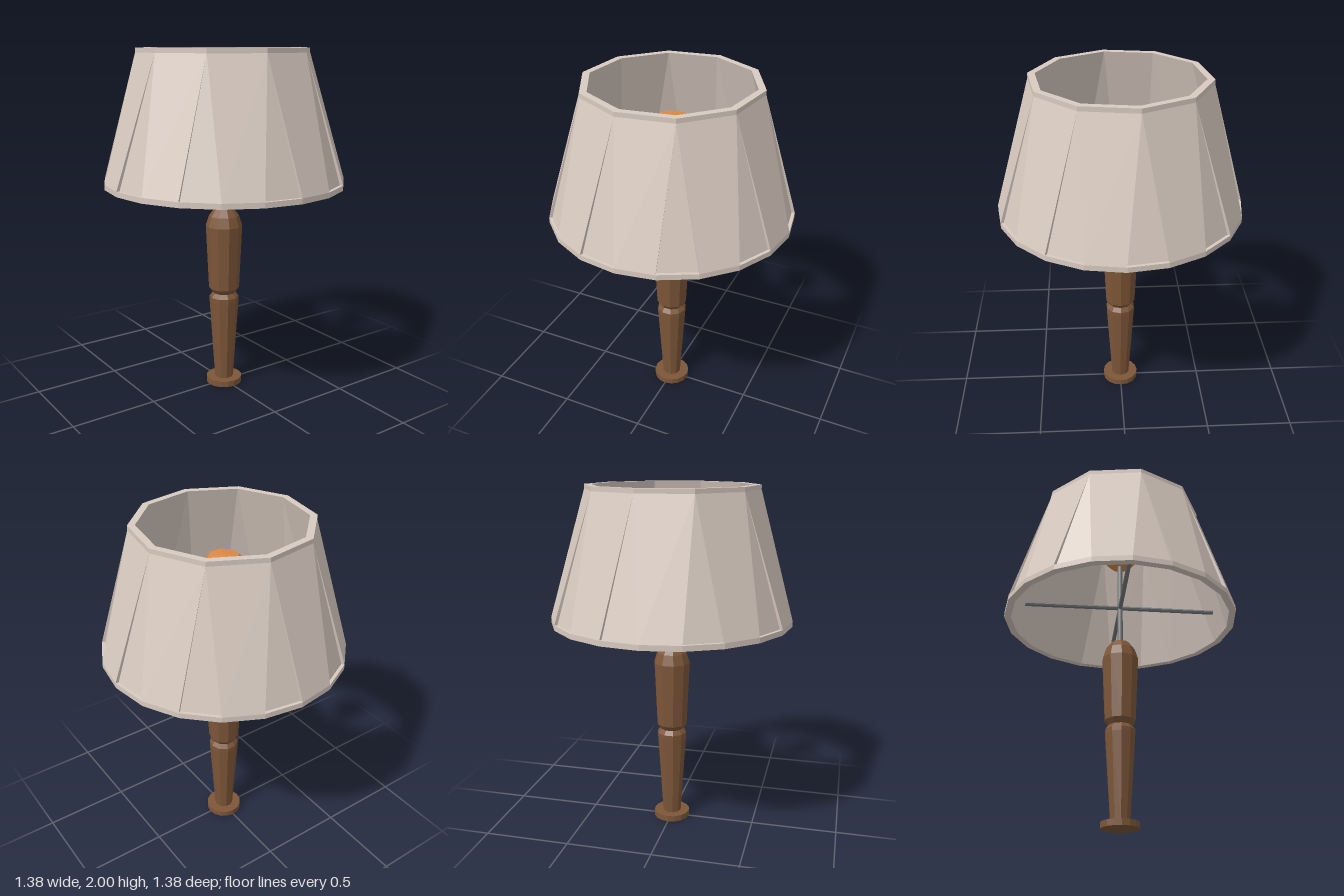
import * as THREE from 'three';

const mat = (name, color) =>
  new THREE.MeshStandardMaterial({ name, color, flatShading: true });

// Point on a circle: radius, angle in degrees, height
const P = (r, deg, y) => {
  const a = THREE.MathUtils.degToRad(deg);
  return [r * Math.cos(a), y, r * Math.sin(a)];
};

// Faceted shade: ten wide panels alternating with ten recessed gussets
function shadeGeometry() {
  const pos = [];
  const tri = (a, b, c) => pos.push(...a, ...b, ...c);
  const quad = (a, b, c, d) => { tri(a, b, c); tri(a, c, d); };
  const bottom = 1.235, shelf = 1.265, neck = 1.975, top = 2;
  const rBottom = 0.69, rRecess = 0.672, rTop = 0.49, rInBottom = 0.65, rInTop = 0.45;

  for (let k = 0; k < 10; k++) {
    const t = 9 + 36 * k, next = t + 36;
    const a = t - 9, b = t + 9, c = t + 27;
    const apex = P(rTop, t, neck);
    const A = P(rBottom, a, shelf), B = P(rBottom, b, shelf);
    const Ar = P(rRecess, a, shelf), Br = P(rRecess, b, shelf);

    // wide panel
    quad(P(rBottom, c, shelf), B, apex, P(rTop, next, neck));
    // recessed gusset, its two side steps and the shelf below it
    tri(Br, Ar, apex);
    tri(Ar, A, apex);
    tri(B, Br, apex);
    quad(A, Ar, Br, B);
    // lower hoop, outside and underside
    for (const [u, v] of [[a, b], [b, c]]) {
      quad(P(rBottom, v, bottom), P(rBottom, u, bottom), P(rBottom, u, shelf), P(rBottom, v, shelf));
      quad(P(rBottom, u, bottom), P(rBottom, v, bottom), P(rInBottom, v, bottom), P(rInBottom, u, bottom));
    }
    // upper rim, outside and top
    quad(P(rTop, next, neck), apex, P(rTop, t, top), P(rTop, next, top));
    quad(P(rTop, next, top), P(rTop, t, top), P(rInTop, t, top), P(rInTop, next, top));
    // inside wall
    quad(P(rInBottom, b, bottom), P(rInBottom, c, bottom), P(rInTop, next, top), P(rInTop, t, top));
    tri(P(rInBottom, a, bottom), P(rInBottom, b, bottom), P(rInTop, t, top));
  }
  const g = new THREE.BufferGeometry();
  g.setAttribute('position', new THREE.Float32BufferAttribute(pos, 3));
  g.computeVertexNormals();
  return g;
}

const lathe = (points, sides) =>
  new THREE.LatheGeometry(points.map(([r, y]) => new THREE.Vector2(r, y)), sides);

export function createModel() {
  const model = new THREE.Group();
  model.name = 'tableLamp';

  const fabric = mat('fabric', 0xd8cac0);
  fabric.side = THREE.DoubleSide;
  const wood = mat('wood', 0x7d5638);
  const metal = mat('metal', 0x75787b);
  const amber = mat('amber', 0xdc8a48);

  const add = (name, geometry, material, y = 0) => {
    const mesh = new THREE.Mesh(geometry, material);
    mesh.name = name;
    mesh.position.y = y;
    model.add(mesh);
    return mesh;
  };

  // Turned wooden stand
  add('foot', new THREE.CylinderGeometry(0.107, 0.107, 0.035, 16), wood, 0.0175);
  add('lowerStem', lathe([[0.055, 0.03], [0.087, 0.525], [0.087, 0.55], [0.068, 0.575], [0, 0.58]], 10), wood);
  add('upperStem', lathe([[0, 0.57], [0.068, 0.575], [0.09, 0.605], [0.107, 0.985],
    [0.088, 1.045], [0.055, 1.09], [0, 1.09]], 10), wood);

  // Metal pole and the cross that carries the shade
  add('pole', new THREE.CylinderGeometry(0.016, 0.016, 0.6, 8), metal, 1.37);
  for (const [name, axis] of [['crossBarX', 'z'], ['crossBarZ', 'x']]) {
    const bar = add(name, new THREE.CylinderGeometry(0.013, 0.013, 1.14, 8), metal, 1.33);
    bar.rotation[axis] = Math.PI / 2;
  }

  // Faceted bulb on the pole
  const bulb = add('bulb', lathe([[0, 1.62], [0.07, 1.63], [0.112, 1.68], [0.112, 1.76],
    [0.085, 1.805], [0, 1.815]], 8), amber);
  bulb.rotation.y = Math.PI / 8;

  add('shade', shadeGeometry(), fabric);
  return model;
}
